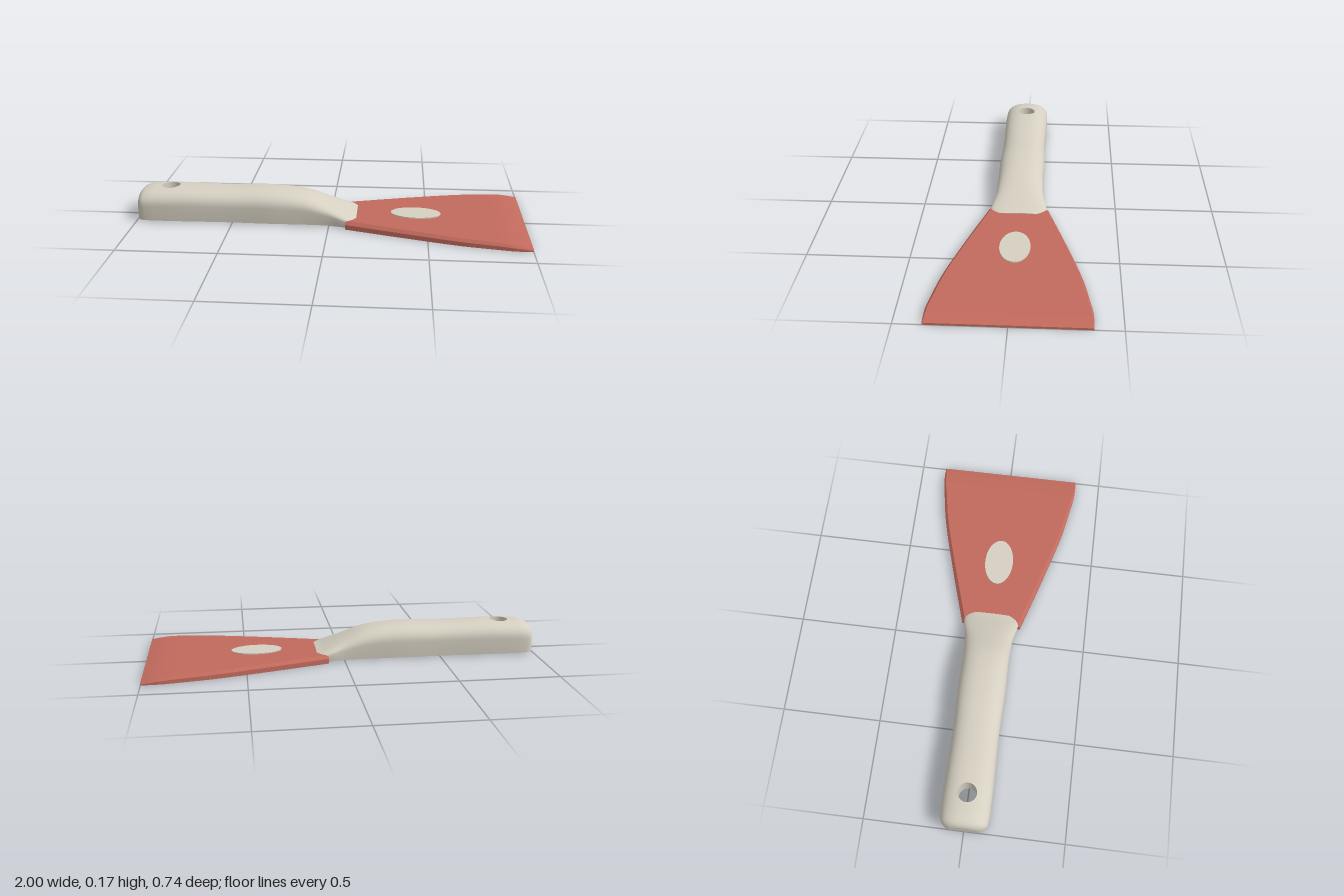
import * as THREE from 'three';
import { mergeGeometries, mergeVertices } from 'three/addons/utils/BufferGeometryUtils.js';

const cream = new THREE.MeshStandardMaterial({ color: 0xd6d0c2 });
cream.name = 'cream plastic';
const red = new THREE.MeshStandardMaterial({ color: 0xc26a5d });
red.name = 'red plastic';

// Skin a grid of rows of [x, y, z] points
function skin(rows) {
  const n = rows[0].length;
  const index = [];
  for (let i = 0; i < rows.length - 1; i++) {
    for (let j = 0; j < n - 1; j++) {
      const a = i * n + j, b = a + 1, c = a + n, d = c + 1;
      index.push(a, b, c, b, d, c);
    }
  }
  const g = new THREE.BufferGeometry();
  g.setAttribute('position', new THREE.Float32BufferAttribute(rows.flat(2), 3));
  g.setIndex(index);
  return g;
}

// Skin a half and its mirror image across z = 0, smooth within the surface
function mirroredSkin(rows) {
  const other = rows.map(r => r.map(([x, y, z]) => [x, y, -z]).reverse());
  const g = mergeVertices(mergeGeometries([skin(rows), skin(other)]), 1e-5);
  g.computeVertexNormals();
  return g;
}

const collapse = row => row.map(([x, y]) => [x, y, 0]);

function addMesh(group, name, geometry, material) {
  const mesh = new THREE.Mesh(geometry, material);
  mesh.name = name;
  group.add(mesh);
  return mesh;
}

function createHandle() {
  const group = new THREE.Group();
  group.name = 'handle';
  const base = 0.005, holeX = -0.835, holeR = 0.047;

  // Stations along the handle: x, half width, top height
  const curve = new THREE.CatmullRomCurve3([
    [-1, 0.075, 0.11], [-0.992, 0.095, 0.132], [-0.975, 0.113, 0.148], [-0.94, 0.12, 0.158],
    [-0.88, 0.122, 0.162], [-0.75, 0.121, 0.166], [-0.5, 0.117, 0.162], [-0.3, 0.122, 0.166],
    [-0.12, 0.12, 0.147], [0, 0.126, 0.103], [0.07, 0.141, 0.073], [0.11, 0.143, 0.056],
    [0.14, 0.125, 0.046],
  ].map(p => new THREE.Vector3(...p)), false, 'centripetal');
  const samples = curve.getPoints(72);
  const sampleAt = x => {
    const i = Math.max(1, samples.findIndex(p => p.x >= x));
    const a = samples[i - 1], b = samples[i];
    return a.clone().lerp(b, (x - a.x) / (b.x - a.x));
  };

  // Extra stations open the surface around the hanging hole
  const stations = samples.filter(p => Math.abs(p.x - holeX) > holeR + 0.004)
    .map(p => ({ p, w: 0, hole: false }));
  for (let k = 0; k <= 14; k++) {
    const a = Math.PI * k / 14;
    stations.push({ p: sampleAt(holeX - holeR * Math.cos(a)), w: holeR * Math.sin(a), hole: true });
  }
  stations.sort((a, b) => a.p.x - b.p.x);

  // Half section: rounded top, then a nearly upright side
  const power = 0.83;
  const upper = ({ p: { x, y: hw, z: top }, w }) => {
    const mid = (base + top) / 2;
    const start = Math.asin(Math.pow(Math.max(w, 0) / hw, 1 / power));
    const row = [];
    for (let j = 0; j <= 12; j++) {
      const t = start + (Math.PI / 2 - start) * j / 12;
      const c = Math.max(0, Math.cos(t));
      row.push([x, mid + (top - mid) * Math.pow(c, power), hw * Math.pow(Math.sin(t), power)]);
    }
    row[0][2] = w;
    row.push([x, (mid + base) / 2, hw * 0.99], [x, base, hw * 0.965]);
    return row;
  };
  const rows = stations.map(upper);
  const last = rows[rows.length - 1];

  addMesh(group, 'handleGrip', mirroredSkin(rows), cream);
  addMesh(group, 'handleButt', mirroredSkin([collapse(rows[0]), rows[0]]), cream);
  addMesh(group, 'handleTip', mirroredSkin([last, collapse(last)]), cream);
  addMesh(group, 'handleUnderside', mirroredSkin(stations.map(({ p, w }) =>
    [[p.x, base, p.y * 0.965], [p.x, base, w]])), cream);

  // Wall of the hanging hole
  const wall = [];
  stations.forEach((s, i) => {
    if (s.hole) wall.push([[s.p.x, base, s.w], rows[i][0]]);
  });
  addMesh(group, 'hangingHole', mirroredSkin(wall), cream);
  return group;
}

function createBlade() {
  const group = new THREE.Group();
  group.name = 'blade';

  // Stations along the blade: x, half width, thickness
  const curve = new THREE.CatmullRomCurve3([
    [0.085, 0.154, 0.042], [0.4, 0.25, 0.039], [0.67, 0.325, 0.035], [0.82, 0.353, 0.032],
    [0.9, 0.367, 0.027], [0.95, 0.37, 0.02], [1, 0.37, 0.01],
  ].map(p => new THREE.Vector3(...p)), false, 'centripetal');

  // Half section with a bevelled upper edge
  const rows = curve.getPoints(30).map(({ x, y: hw, z: t }) => [
    [x, t, 0], [x, t, hw - t * 0.4], [x, t * 0.6, hw], [x, 0, hw], [x, 0, 0],
  ]);
  ['bladeTop', 'bladeBevel', 'bladeSide', 'bladeUnderside'].forEach((name, j) =>
    addMesh(group, name, mirroredSkin(rows.map(r => r.slice(j, j + 2))), red));

  const last = rows[rows.length - 1];
  addMesh(group, 'bladeHeel', mirroredSkin([collapse(rows[0]), rows[0]]), red);
  addMesh(group, 'scrapingEdge', mirroredSkin([last, collapse(last)]), red);
  return group;
}

export function createModel() {
  const model = new THREE.Group();
  model.name = 'scraper';
  model.add(createHandle(), createBlade());

  // Oval inlay on the blade
  const inlay = addMesh(model, 'ovalInlay', new THREE.CylinderGeometry(1, 1, 0.009, 40), cream);
  inlay.scale.set(0.128, 1, 0.075);
  inlay.position.set(0.443, 0.0395, 0);
  inlay.rotation.z = -0.01;
  return model;
}
